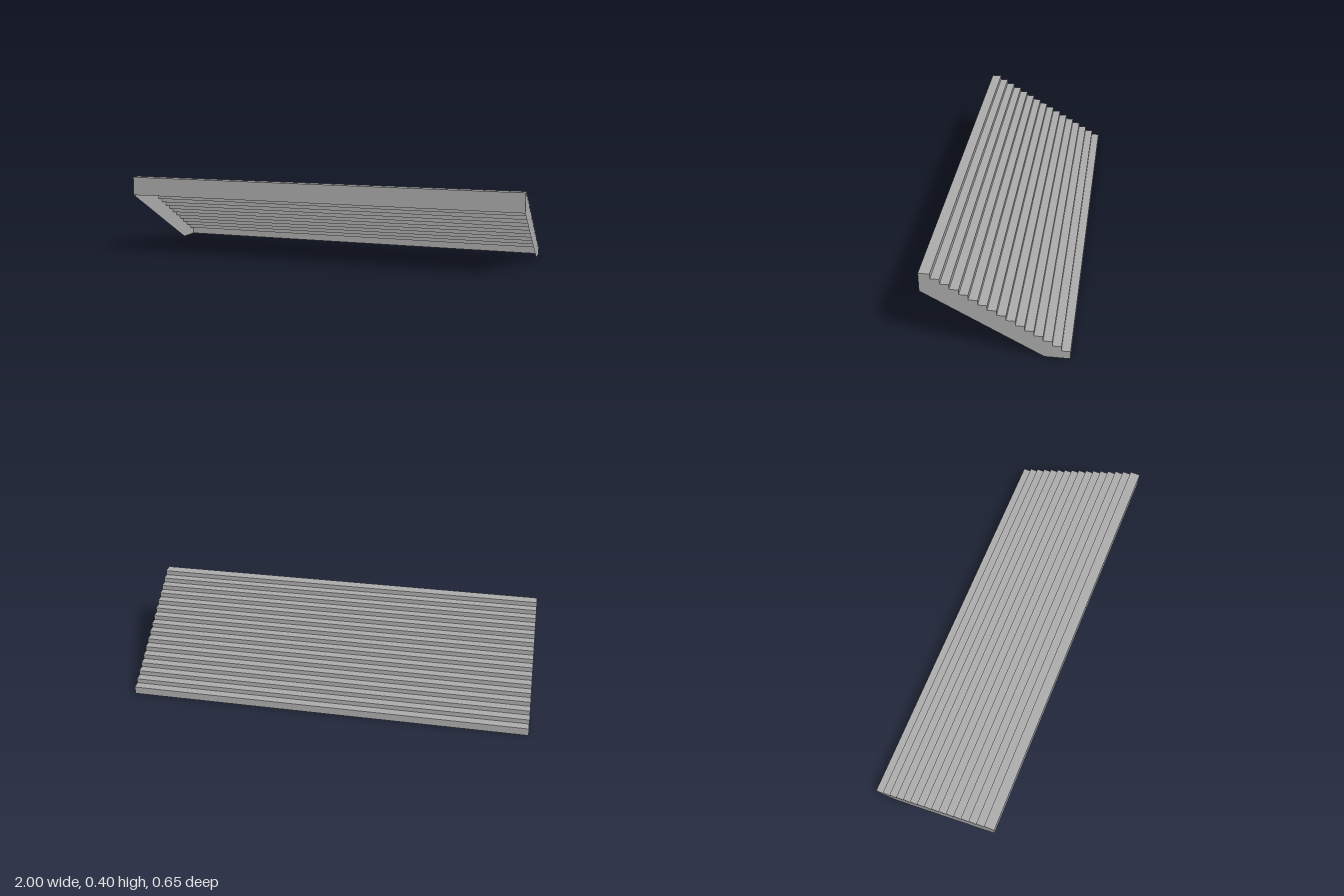
import * as THREE from 'three';

const STEPS = 16, RUN = 0.0401, RISE = 0.024, FIRST = 0.04;
const WIDTH = 2, BACK = -0.326, FRONT = 0.326;

export function createModel() {
  const group = new THREE.Group();
  const concrete = new THREE.MeshStandardMaterial({ color: 0xaaaaaa, side: THREE.DoubleSide });
  concrete.name = 'concrete grey';

  const add = (name, geometry) => {
    const mesh = new THREE.Mesh(geometry, concrete);
    mesh.name = name;
    group.add(mesh);
    return mesh;
  };

  // Vertical full-width sheet facing the back (-1) or the front (+1)
  const upright = (name, z, y0, y1, facing) => {
    const g = new THREE.PlaneGeometry(WIDTH, y1 - y0);
    if (facing < 0) g.rotateY(Math.PI);
    add(name, g.translate(0, (y0 + y1) / 2, z));
  };

  // Treads and risers climb from the back to the front; the outline collects their corners
  const outline = [];
  for (let i = 0; i < STEPS; i++) {
    const y = FIRST + i * RISE;
    const below = i ? y - RISE : 0;
    const z0 = BACK + i * RUN;
    const z1 = i < STEPS - 1 ? z0 + RUN : FRONT;
    upright(`riser${i + 1}`, z0, below, y, -1);
    add(`tread${i + 1}`, new THREE.PlaneGeometry(WIDTH, z1 - z0)
      .rotateX(-Math.PI / 2).translate(0, y, (z0 + z1) / 2));
    outline.push([z0, below], [z0, y]);
  }
  const top = FIRST + (STEPS - 1) * RISE;
  outline.push([FRONT, top], [FRONT, 0.307], [-0.212, 0]);

  // Tall face at the top of the flight; the underside stays open
  upright('frontPanel', FRONT, 0.307, top, 1);

  // Stepped end panels
  for (const side of [1, -1]) {
    const shape = new THREE.Shape(outline.map(([z, y]) => new THREE.Vector2(-side * z, y)));
    add(side > 0 ? 'leftEndPanel' : 'rightEndPanel', new THREE.ShapeGeometry(shape)
      .rotateY(side * Math.PI / 2).translate(side * WIDTH / 2, 0, 0));
  }
  return group;
}
